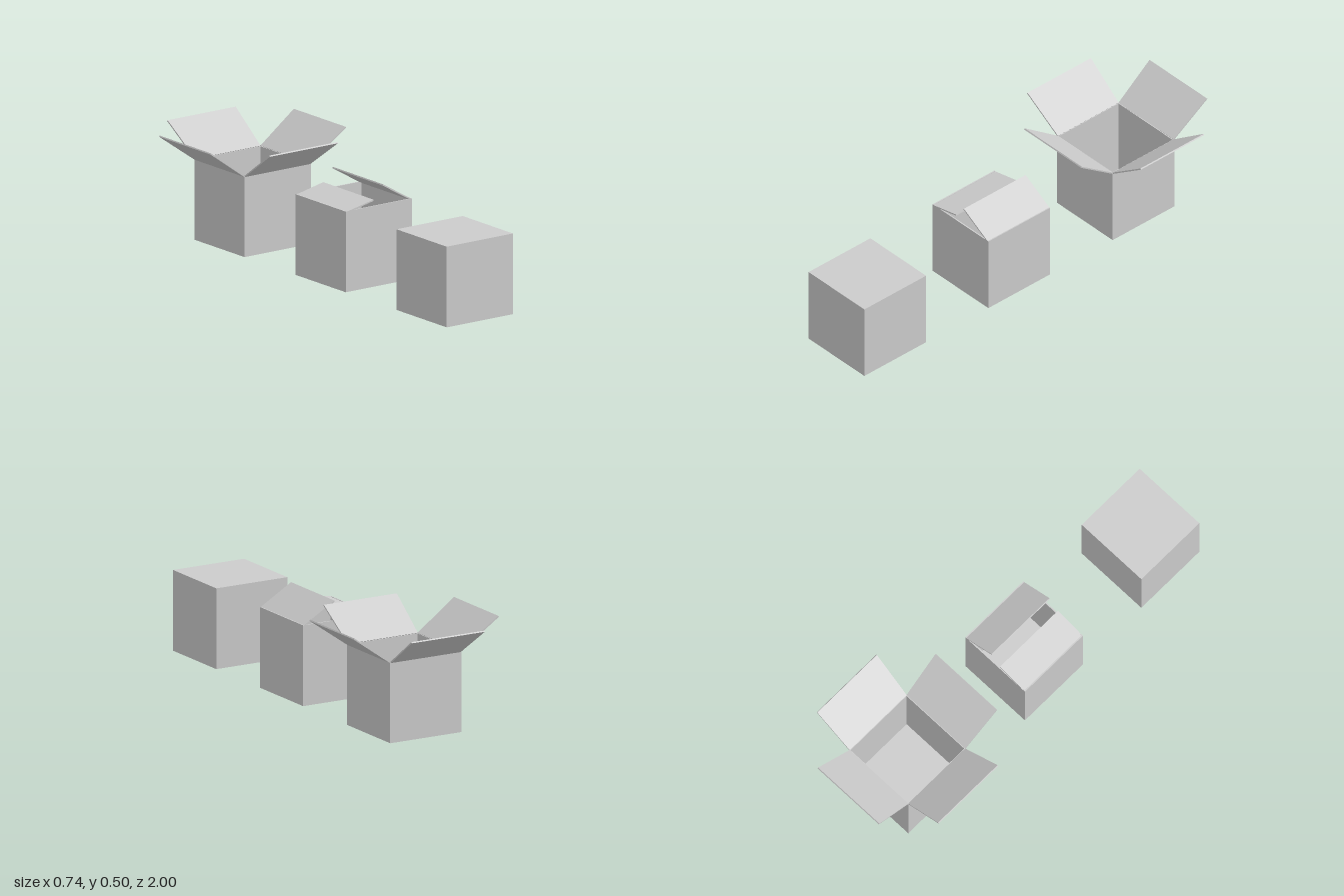
import * as THREE from 'three';

const SIZE = 0.36, HALF = SIZE / 2, HEIGHT = 0.362, WALL = 0.006;

export function createModel() {
  const card = new THREE.MeshStandardMaterial({ color: 0xcccccc });
  card.name = 'light grey card';
  const root = new THREE.Group();
  root.name = 'cardboardBoxes';

  const add = (parent, geometry, name) => {
    const mesh = new THREE.Mesh(geometry, card);
    mesh.name = name;
    parent.add(mesh);
    return mesh;
  };

  const boxGroup = (name, z) => {
    const group = new THREE.Group();
    group.name = name;
    group.position.z = z;
    root.add(group);
    return group;
  };

  // Hollow body: a square ring of walls and a floor
  const addBody = (parent) => {
    const square = (Type, h) => new Type([
      new THREE.Vector2(-h, -h), new THREE.Vector2(h, -h),
      new THREE.Vector2(h, h), new THREE.Vector2(-h, h),
    ]);
    const ring = square(THREE.Shape, HALF);
    ring.holes.push(square(THREE.Path, HALF - WALL));
    const walls = new THREE.ExtrudeGeometry(ring, { depth: HEIGHT, bevelEnabled: false });
    walls.rotateX(-Math.PI / 2);
    add(parent, walls, 'walls');
    const inner = SIZE - 2 * WALL;
    add(parent, new THREE.BoxGeometry(inner, WALL, inner).translate(0, WALL / 2, 0), 'floor');
  };

  // Flap hinged on the +x rim, rising by `angle`, then turned to its side of the box
  const addFlap = (parent, name, turn, length, angle, baseHalf, tipHalf) => {
    const geometry = new THREE.BoxGeometry(length, WALL, 2).translate(length / 2, WALL / 2, 0);
    const p = geometry.attributes.position;
    for (let i = 0; i < p.count; i++) {
      p.setZ(i, p.getZ(i) * THREE.MathUtils.lerp(baseHalf, tipHalf, p.getX(i) / length));
    }
    geometry.rotateZ(angle).translate(HALF, HEIGHT - WALL / 2, 0).rotateY(turn);
    geometry.computeVertexNormals();
    add(parent, geometry, name);
  };

  // Closed box
  const closed = boxGroup('closedBox', 0.82);
  add(closed, new THREE.BoxGeometry(SIZE, HEIGHT, SIZE).translate(0, HEIGHT / 2, 0), 'closedBody');

  // Half-open box: two flaps folded inward at different heights
  const ajar = boxGroup('halfOpenBox', 0.097);
  addBody(ajar);
  addFlap(ajar, 'leftFlap', 0, 0.183, Math.PI - 0.53, HALF, HALF);
  addFlap(ajar, 'rightFlap', Math.PI, 0.154, Math.PI - 0.21, HALF, HALF);

  // Open box: four flaps spread outward
  const open = boxGroup('openBox', -0.628);
  addBody(open);
  ['leftFlap', 'backFlap', 'rightFlap', 'frontFlap'].forEach((name, i) => {
    addFlap(open, name, i * Math.PI / 2, 0.23, 0.615, 0.177, 0.185);
  });

  return root;
}
